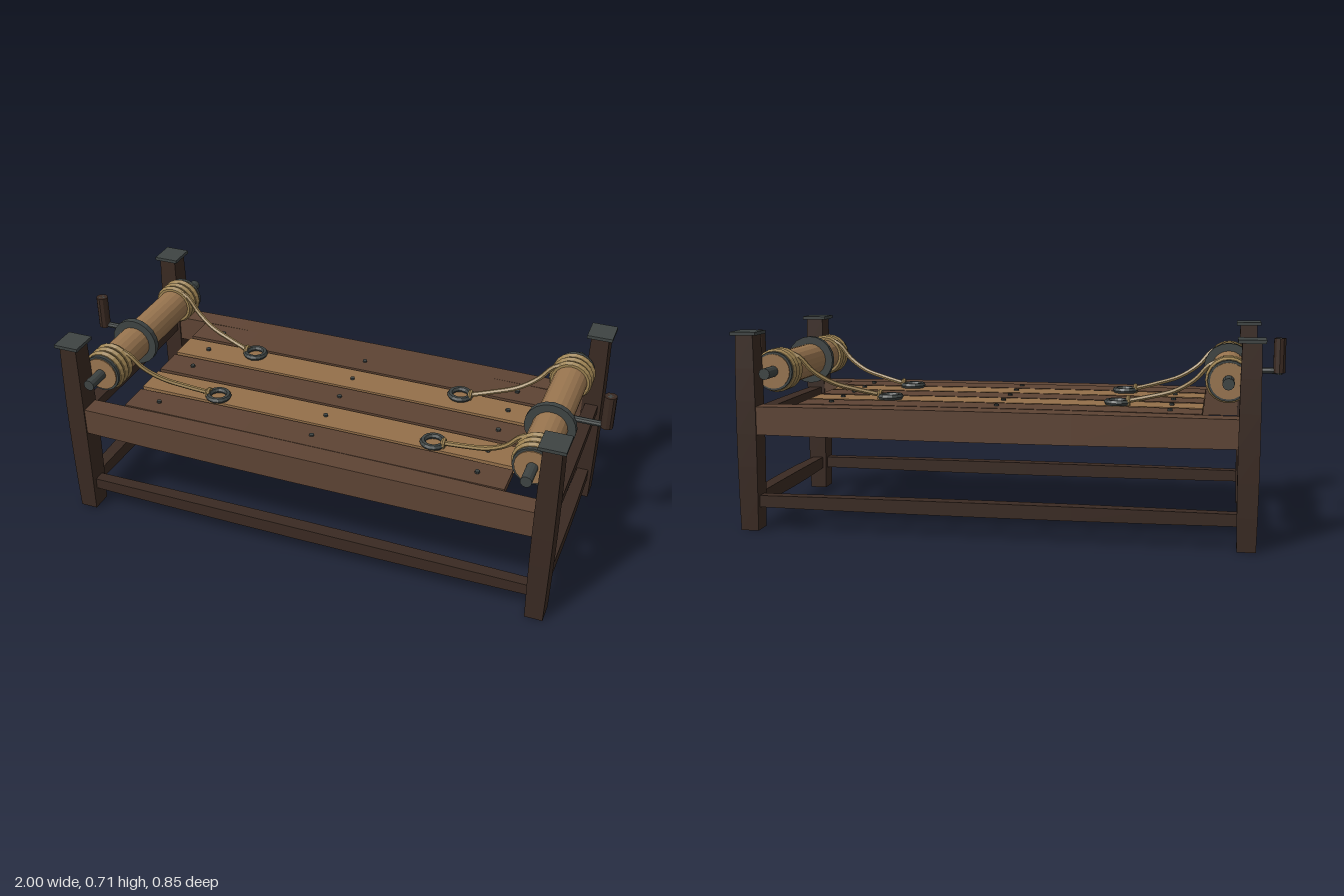
import * as THREE from 'three';

const mat = (color) => new THREE.MeshStandardMaterial({ color, flatShading: true });

export function createModel() {
  const model = new THREE.Group();
  const darkWood = mat(0x3a2a22), midWood = mat(0x5e4434), lightWood = mat(0x94704a);
  const drumWood = mat(0x9a7650), rope = mat(0x9a8050), iron = mat(0x3e4443);

  const add = (name, geometry, material, x, y, z, parent = model) => {
    const mesh = new THREE.Mesh(geometry, material);
    mesh.name = name;
    mesh.position.set(x, y, z);
    parent.add(mesh);
    return mesh;
  };

  // Hewn timber along x, y or z: slightly thicker in the middle than at the ends
  const timber = (w, h, d, axis, bulge = 0.004) => {
    const seg = { x: 1, y: 1, z: 1, [axis]: 6 };
    const geo = new THREE.BoxGeometry(w, h, d, seg.x, seg.y, seg.z);
    const size = { x: w, y: h, z: d };
    const p = geo.attributes.position, v = new THREE.Vector3();
    for (let i = 0; i < p.count; i++) {
      v.fromBufferAttribute(p, i);
      const t = Math.abs(v[axis]) / size[axis] * 2;
      for (const k of ['x', 'y', 'z']) {
        if (k !== axis) v[k] += Math.sign(v[k]) * bulge * (0.5 - t * t);
      }
      p.setXYZ(i, v.x, v.y, v.z);
    }
    geo.computeVertexNormals();
    return geo;
  };

  const rod = (radius, length, axis, sides = 12) => {
    const geo = new THREE.CylinderGeometry(radius, radius, length, sides);
    if (axis === 'x') geo.rotateZ(Math.PI / 2);
    if (axis === 'z') geo.rotateX(Math.PI / 2);
    return geo;
  };

  // Corner posts with iron caps
  for (const sx of [-1, 1]) for (const sz of [-1, 1]) {
    add('post', timber(0.068, 0.7, 0.082, 'y'), darkWood, sx * 0.873, 0.352, sz * 0.376);
    add('postCap', new THREE.BoxGeometry(0.092, 0.012, 0.102), iron, sx * 0.873, 0.708, sz * 0.376);
  }

  // Side rails and lower stretchers
  for (const s of [-1, 1]) {
    add('sideRail', timber(1.69, 0.104, 0.08, 'x'), midWood, 0, 0.4, s * 0.376);
    add('longStretcher', timber(1.69, 0.046, 0.046, 'x'), darkWood, 0, 0.106, s * 0.376);
    add('endStretcher', timber(0.046, 0.048, 0.68, 'z'), darkWood, s * 0.873, 0.107, 0);
    add('endRail', timber(0.05, 0.036, 0.68, 'z', 0.002), darkWood, s * 0.873, 0.407, 0);
  }

  // Bed planks, bearers and nails
  for (const x of [-0.605, 0, 0.605]) {
    add('bearer', timber(0.05, 0.036, 0.68, 'z', 0.002), darkWood, x, 0.407, 0);
  }
  for (let i = -2; i <= 2; i++) {
    const z = i * 0.136;
    add('plank', timber(1.43, 0.03, 0.122, 'x', 0.003), i % 2 ? lightWood : midWood, 0, 0.439, z);
    for (const x of [-0.605, 0, 0.605]) {
      add('nail', rod(0.009, 0.01, 'y', 8), iron, x, 0.456, z);
    }
  }

  // Roller at each end, with crank, rope coils and tie rings
  for (const s of [-1, 1]) {
    const roller = new THREE.Group();
    roller.name = s < 0 ? 'rightRoller' : 'leftRoller';
    model.add(roller);
    const cx = s * 0.8, cy = 0.567;
    add('drum', rod(0.062, 0.67, 'z', 20), drumWood, cx, cy, 0, roller);
    add('axle', rod(0.02, 0.84, 'z'), iron, cx, cy, 0, roller);
    add('ratchetDisc', rod(0.09, 0.022, 'z', 20), iron, cx, cy, 0.075, roller);

    // Crank arm and upright grip
    add('crankArm', rod(0.011, 0.18, 'x', 8), iron, s * 0.89, 0.567, 0, roller);
    add('crankPin', rod(0.012, 0.13, 'y', 8), iron, s * 0.978, 0.619, 0, roller);
    add('crankGrip', rod(0.022, 0.124, 'y', 10), darkWood, s * 0.978, 0.622, 0, roller);

    for (const sz of [-1, 1]) {
      add('drumCollar', rod(0.07, 0.013, 'z', 20), iron, cx, cy, sz * 0.324, roller);
      for (const z of [0.302, 0.272, 0.242]) {
        add('ropeCoil', new THREE.TorusGeometry(0.064, 0.0145, 6, 20), rope, cx, cy, sz * z, roller);
      }
      // Rope sagging from the drum to its ring
      const path = new THREE.CatmullRomCurve3([
        [0.79, 0.634, 0.242], [0.735, 0.61, 0.238], [0.69, 0.56, 0.228],
        [0.62, 0.515, 0.208], [0.53, 0.488, 0.186], [0.455, 0.47, 0.168],
      ].map(([x, y, z]) => new THREE.Vector3(s * x, y, sz * z)));
      add('rope', new THREE.TubeGeometry(path, 20, 0.009, 6), rope, 0, 0, 0);
      const ring = add('tieRing', new THREE.TorusGeometry(0.037, 0.011, 6, 16), iron, s * 0.415, 0.464, sz * 0.165);
      ring.rotation.x = Math.PI / 2;
      const knot = add('ropeLoop', new THREE.TorusGeometry(0.015, 0.008, 6, 12), rope, s * 0.453, 0.467, sz * 0.167);
      knot.rotation.y = Math.PI / 2;
    }
  }
  return model;
}
